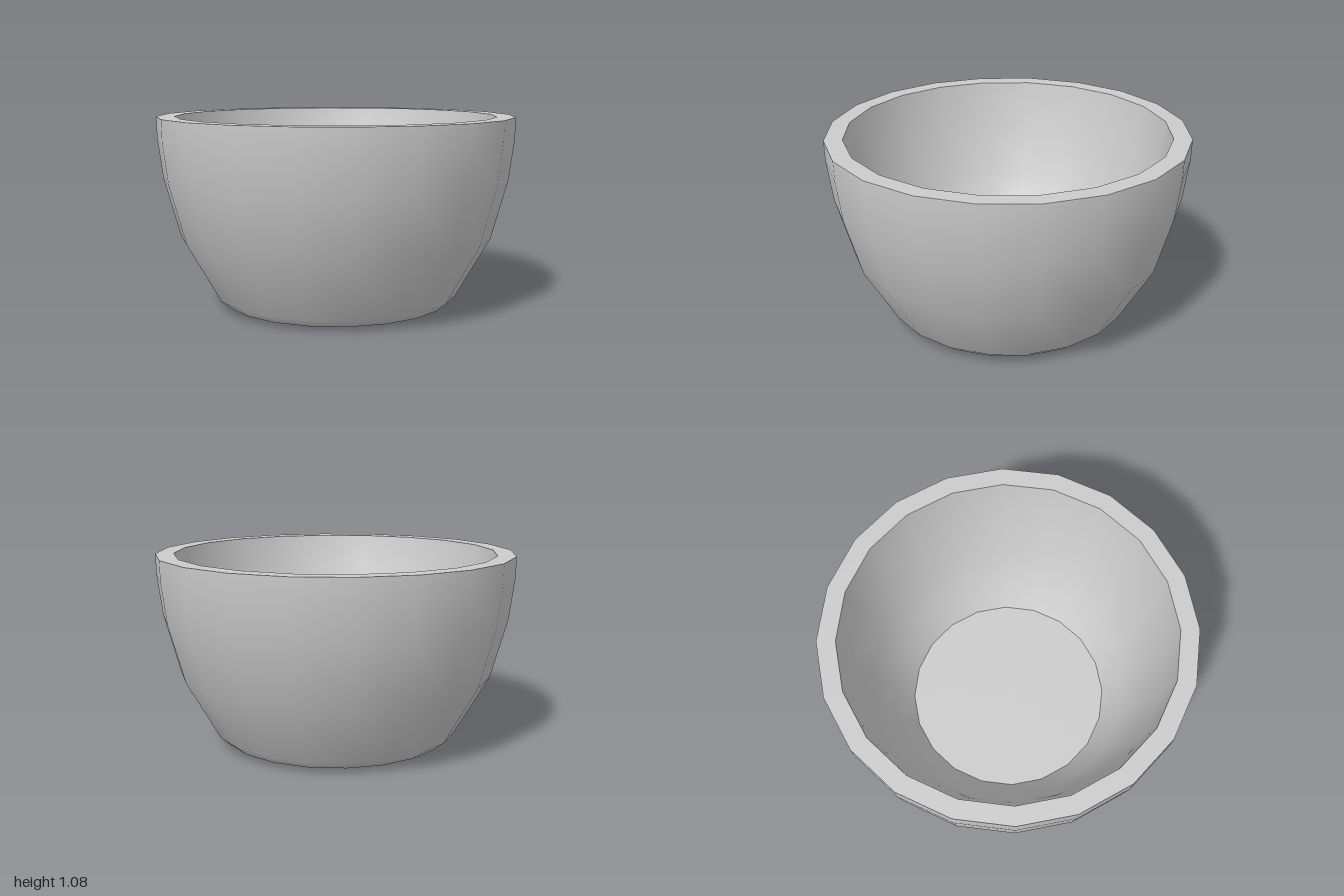
import * as THREE from 'three';

const SIDES = 20;
const TURN = THREE.MathUtils.degToRad(2.9); // small twist of the 20-sided ring

export function createModel() {
  const group = new THREE.Group();
  group.name = 'bowl';
  const material = new THREE.MeshStandardMaterial({ color: 0xcccccc });

  // Each part is turned separately, so shading is smooth within it and sharp between parts
  function turned(name, profile) {
    const points = profile.map(([r, y]) => new THREE.Vector2(r, y));
    const mesh = new THREE.Mesh(new THREE.LatheGeometry(points, SIDES, TURN), material);
    mesh.name = name;
    group.add(mesh);
  }

  // Flat base, rounded foot and flaring outer wall
  turned('outerWall', [
    [0, 0], [0.55, 0], [0.635, 0.02], [0.69, 0.065],
    [0.88, 0.4], [0.97, 0.73], [0.999, 0.96], [1.001, 1.075],
  ]);

  // Flat top edge
  turned('rim', [[1.001, 1.075], [0.9, 1.075]]);

  // Gently curved inside wall, thicker towards the foot
  turned('innerWall', [
    [0.9, 1.075], [0.86, 0.83], [0.77, 0.53], [0.685, 0.32], [0.573, 0.14],
  ]);

  // Flat inside floor
  turned('floor', [[0.573, 0.14], [0, 0.14]]);

  return group;
}
